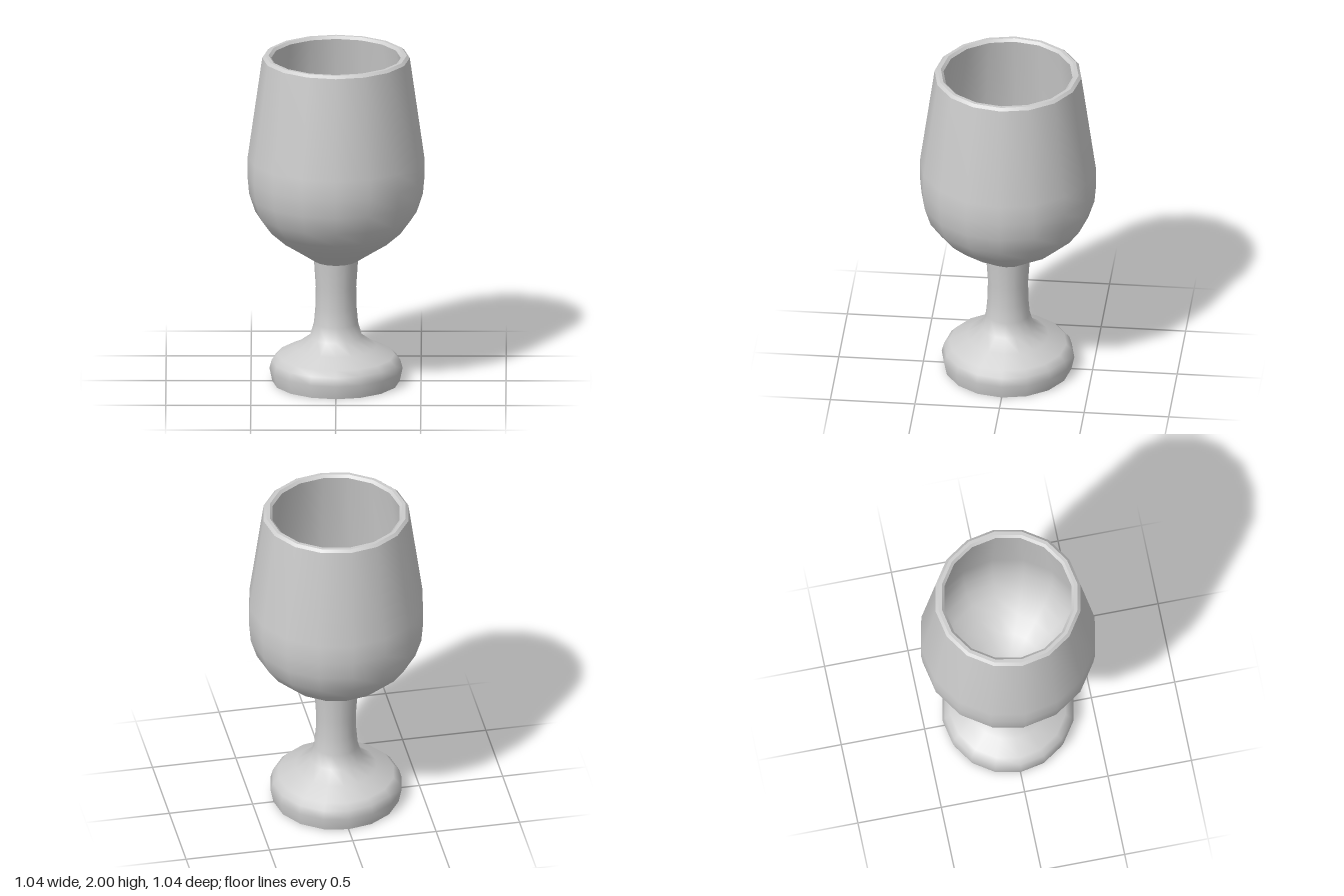
import * as THREE from 'three';

const SIDES = 16;

// Turned surface from [radius, height] pairs; rising profiles face outward
function turned(name, profile, material) {
  const points = profile.map(([r, y]) => new THREE.Vector2(r, y));
  const mesh = new THREE.Mesh(new THREE.LatheGeometry(points, SIDES), material);
  mesh.name = name;
  return mesh;
}

export function createModel() {
  const goblet = new THREE.Group();
  goblet.name = 'goblet';
  const grey = new THREE.MeshStandardMaterial({ color: 0xcccccc });
  grey.name = 'plain grey';

  goblet.add(
    // Flat underside of the foot
    turned('footBase', [[0, 0], [0.375, 0]], grey),
    // Rounded foot flowing into the stem
    turned('footAndStem', [
      [0.375, 0], [0.392, 0.08], [0.378, 0.13], [0.345, 0.165], [0.24, 0.215],
      [0.155, 0.275], [0.13, 0.36], [0.121, 0.46], [0.119, 0.58], [0.13, 0.745],
    ], grey),
    // Outer wall of the bowl
    turned('bowlOutside', [
      [0.13, 0.745], [0.22, 0.805], [0.32, 0.87], [0.41, 0.95], [0.475, 1.04],
      [0.511, 1.15], [0.521, 1.26], [0.519, 1.38], [0.434, 1.985],
    ], grey),
    // Bevelled lip
    turned('rimOuterBevel', [[0.434, 1.985], [0.417, 2]], grey),
    turned('rimTop', [[0.417, 2], [0.397, 2]], grey),
    turned('rimInnerBevel', [[0.397, 2], [0.381, 1.985]], grey),
    // Inner wall and floor of the bowl
    turned('bowlInside', [
      [0.381, 1.985], [0.467, 1.38], [0.469, 1.26], [0.46, 1.165], [0.43, 1.07],
      [0.375, 0.99], [0.29, 0.915], [0.19, 0.85], [0.1, 0.81], [0, 0.8],
    ], grey),
  );
  return goblet;
}
